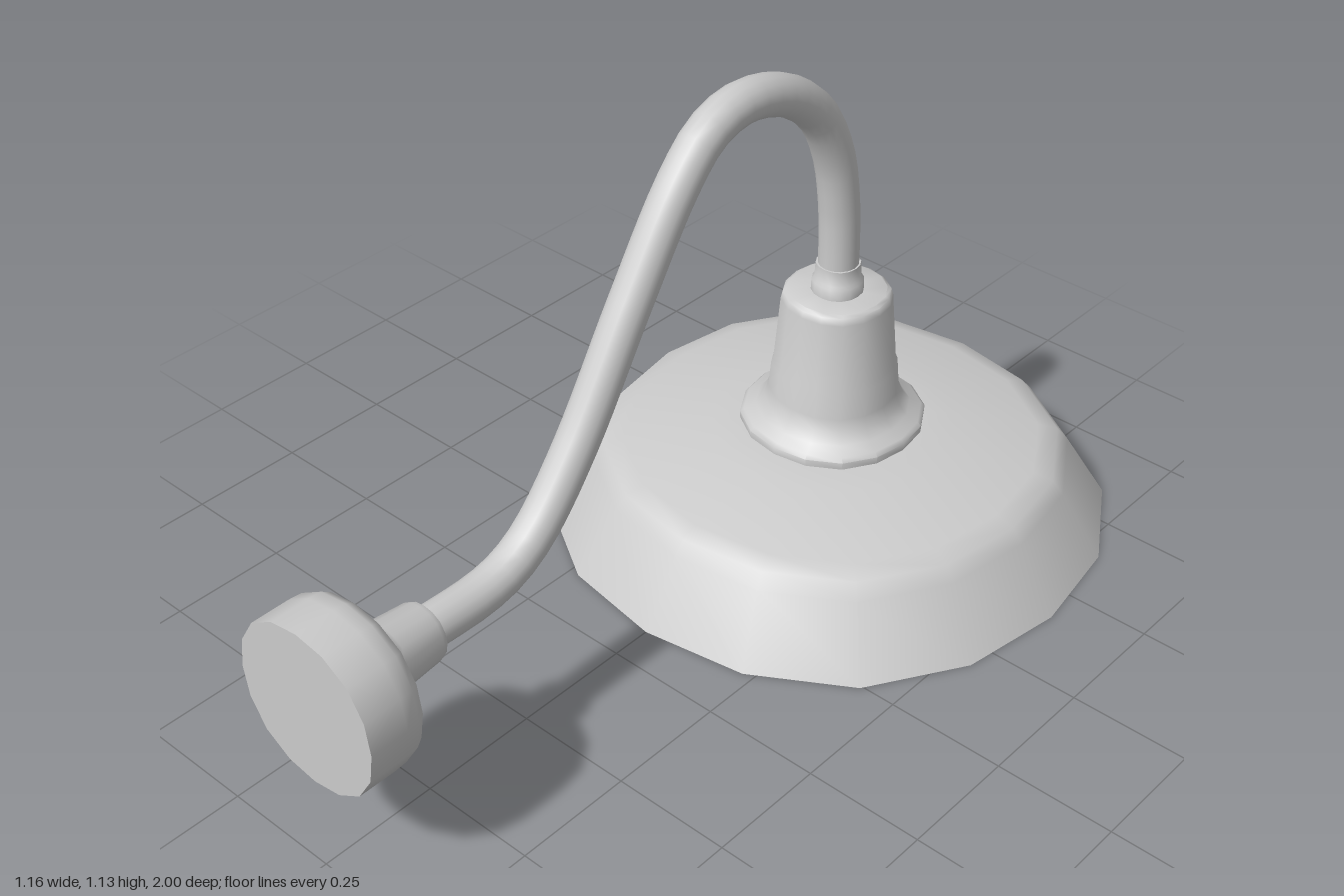
import * as THREE from 'three';
import { toCreasedNormals } from 'three/addons/utils/BufferGeometryUtils.js';

const SIDES = 16;
const SHADE_Z = -0.418;
const MOUNT_Y = 0.373;

export function createModel() {
  const group = new THREE.Group();
  const material = new THREE.MeshStandardMaterial({ color: 0xcccccc });

  const add = (name, geometry) => {
    const mesh = new THREE.Mesh(geometry, material);
    mesh.name = name;
    group.add(mesh);
    return mesh;
  };

  // Turned part from [radius, height] pairs, listed from bottom to top.
  // The rounds swell by 3% between the axes.
  const turned = (name, profile) => {
    const points = profile.map(([r, y]) => new THREE.Vector2(r, y));
    const geometry = new THREE.LatheGeometry(points, SIDES);
    const p = geometry.attributes.position;
    for (let i = 0; i < p.count; i++) {
      const swell = 1 + 0.015 * (1 - Math.cos(4 * Math.atan2(p.getX(i), p.getZ(i))));
      p.setXYZ(i, p.getX(i) * swell, p.getY(i), p.getZ(i) * swell);
    }
    return add(name, toCreasedNormals(geometry, 0.9));
  };

  // Shade: thin shell, inner skin from the crown down, rim, then outer skin back up
  turned('shade', [
    [0, 0.215], [0.18, 0.215], [0.25, 0.209], [0.42, 0.174], [0.458, 0.162], [0.48, 0.139], [0.563, 0],
    [0.582, 0], [0.495, 0.143], [0.471, 0.172], [0.43, 0.184], [0.25, 0.22], [0.18, 0.226], [0, 0.226],
  ]).position.z = SHADE_Z;

  // Socket: rounded foot, flare and tapering neck
  turned('socket', [
    [0.18, 0.222], [0.189, 0.228], [0.19, 0.244], [0.182, 0.252], [0.158, 0.264],
    [0.142, 0.285], [0.133, 0.31], [0.128, 0.368], [0.124, 0.378], [0.112, 0.525], [0.108, 0.54],
    [0.1, 0.545], [0.04, 0.545],
  ]).position.z = SHADE_Z;

  // Collar where the arm enters the socket
  turned('collar', [
    [0.053, 0.543], [0.052, 0.57], [0.047, 0.575], [0.045, 0.608], [0.038, 0.608],
  ]).position.z = SHADE_Z;

  // Gooseneck arm, as [z, y] points from the mount to the socket
  const path = [
    [0.735, 0.373], [0.59, 0.373], [0.52, 0.39], [0.45, 0.435], [0.34, 0.565], [0.19, 0.8],
    [0.06, 0.99], [-0.02, 1.065], [-0.11, 1.088], [-0.23, 1.058], [-0.33, 0.98],
    [-0.388, 0.87], [-0.412, 0.75], [SHADE_Z, 0.65], [SHADE_Z, 0.55],
  ].map(([z, y]) => new THREE.Vector3(0, y, z));
  add('arm', new THREE.TubeGeometry(new THREE.CatmullRomCurve3(path), 48, 0.042, SIDES));

  // Wall mount, turned about the z axis
  const mount = turned('wallMount', [
    [0.04, 0.725], [0.055, 0.725], [0.059, 0.735], [0.066, 0.82], [0.075, 0.84], [0.1, 0.857],
    [0.135, 0.865], [0.155, 0.874], [0.166, 0.892], [0.168, 0.92], [0.168, 1], [0, 1],
  ]);
  mount.rotation.x = Math.PI / 2;
  mount.position.y = MOUNT_Y;

  return group;
}
